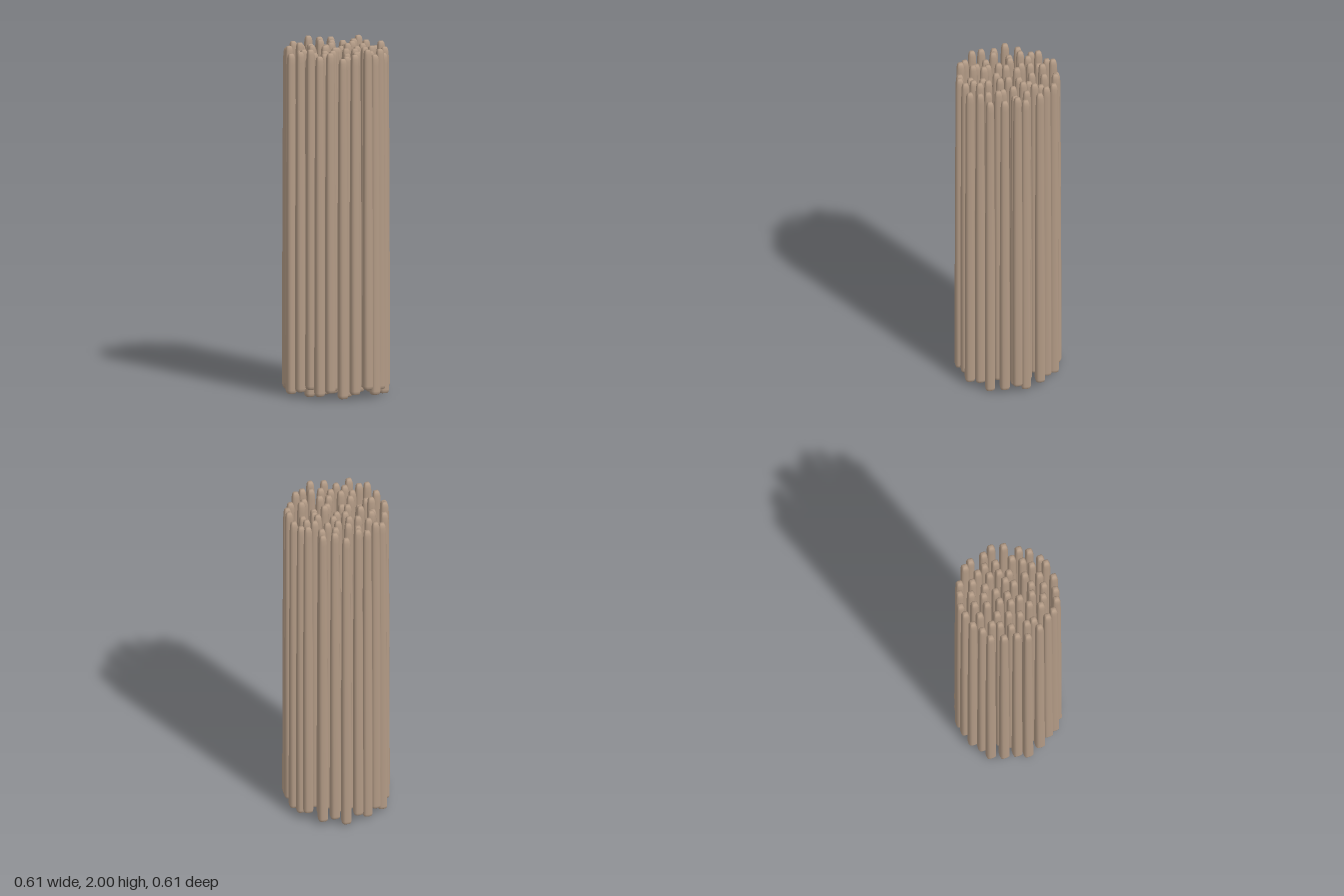
import * as THREE from 'three';
import { mergeVertices } from 'three/addons/utils/BufferGeometryUtils.js';

// Rod centres as x, z pairs in thousandths, ring by ring
const rings = {
  core: [1, -5, -35, -62, 33, -62, 69, 5, 44, 48, -42, 54, -63, -4],
  inner: [-101, -98, -40, -138, 24, -136, 79, -111, 126, -70, 133, -11, 122, 45,
    69, 120, 13, 141, -53, 123, -101, 93, -137, 25, -129, -38],
  middle: [-78, -193, -19, -205, 53, -202, 126, -171, 158, -129, 192, -79, 199, -11,
    185, 82, 158, 136, 108, 175, 46, 200, -13, 207, -88, 180, -126, 154,
    -192, 89, -210, 43, -197, -45, -176, -105, -151, -145],
  outer: [10, -279, 72, -264, 137, -243, 210, -188, 240, -146, 262, -61, 278, -11,
    271, 61, 235, 139, 194, 188, 144, 238, 94, 255, 10, 273, -58, 261,
    -128, 245, -179, 211, -215, 164, -254, 104, -280, 27, -269, -34,
    -251, -105, -221, -175, -176, -209, -119, -248, -60, -273],
};
const LENGTH = 1.945;
const SPREAD = 0.055;

// Tapered rod: a turned profile pushed out to a rounded square section
function rodGeometry() {
  const profile = [
    [0, 0], [0.019, 0], [0.025, 0.006], [0.028, 0.02], [0.0265, LENGTH / 2],
    [0.0225, LENGTH - 0.06], [0.0205, LENGTH - 0.025], [0.017, LENGTH - 0.009],
    [0.011, LENGTH], [0, LENGTH],
  ].map(([r, y]) => new THREE.Vector2(r, y));
  let geo = new THREE.LatheGeometry(profile, 16);
  const pos = geo.attributes.position;
  for (let i = 0; i < pos.count; i++) {
    const x = pos.getX(i), z = pos.getZ(i);
    const r = Math.hypot(x, z);
    if (r < 1e-6) continue;
    const k = Math.pow(Math.pow(Math.abs(x / r), 4.5) + Math.pow(Math.abs(z / r), 4.5), -1 / 4.5);
    pos.setX(i, x * k);
    pos.setZ(i, z * k);
  }
  // Weld the seam so the sides shade smoothly all round
  geo.deleteAttribute('uv');
  geo.deleteAttribute('normal');
  geo = mergeVertices(geo, 1e-5);
  geo.computeVertexNormals();
  return geo;
}

export function createModel() {
  const bundle = new THREE.Group();
  bundle.name = 'rodBundle';
  const geometry = rodGeometry();
  const material = new THREE.MeshStandardMaterial({ color: 0xb39b86 });

  let n = 0;
  for (const [name, xz] of Object.entries(rings)) {
    const ring = new THREE.Group();
    ring.name = name + 'Rods';
    for (let i = 0; i < xz.length; i += 2) {
      const rod = new THREE.Mesh(geometry, material);
      rod.name = 'rod';
      // Uneven ends: each rod slides up by a different amount
      rod.position.set(xz[i] / 1000, ((n++ * 0.618034) % 1) * SPREAD, xz[i + 1] / 1000);
      ring.add(rod);
    }
    bundle.add(ring);
  }
  return bundle;
}
